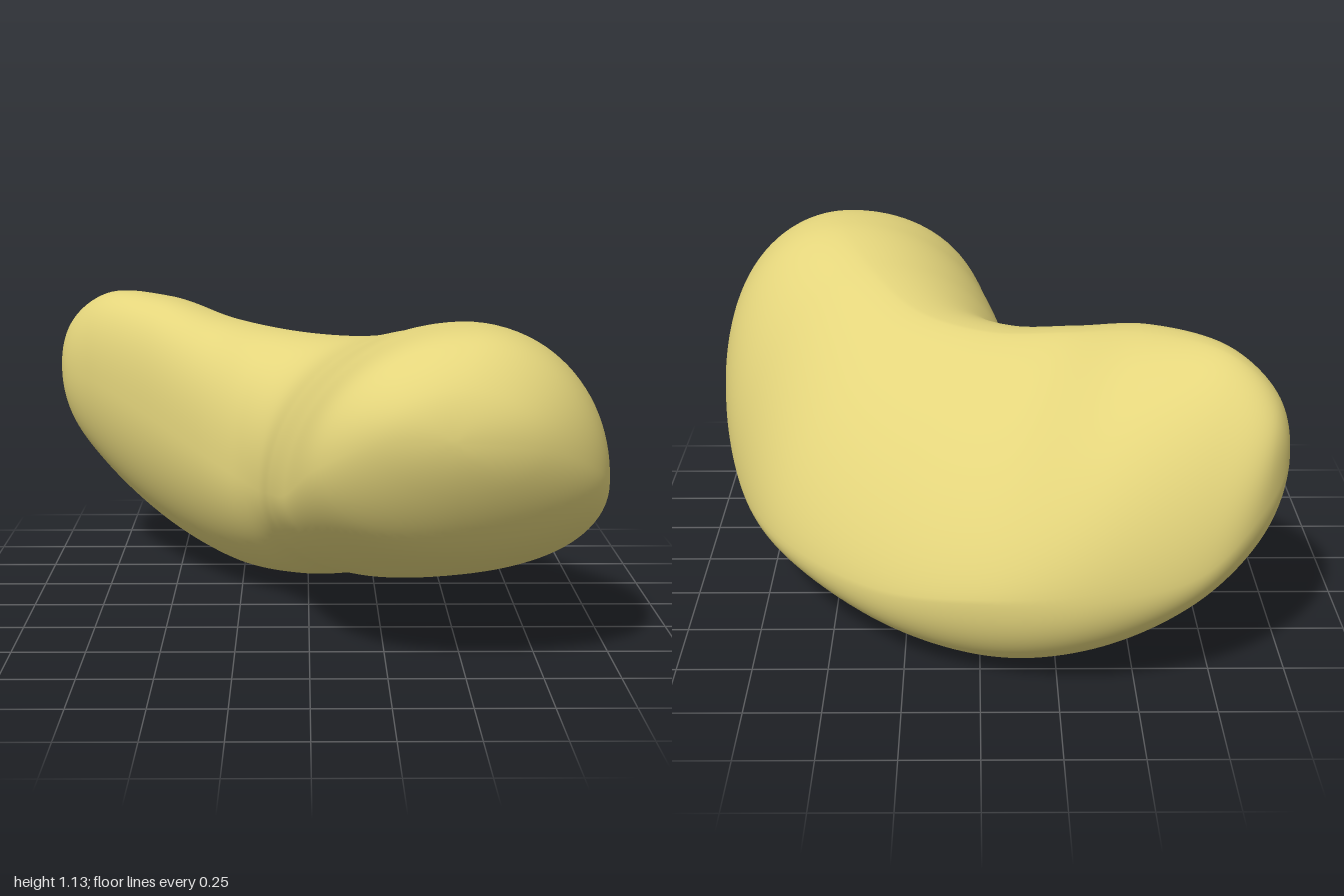
import * as THREE from 'three';
import { mergeVertices } from 'three/addons/utils/BufferGeometryUtils.js';

// Cross-sections along the bend:
// outer x, z | inner x, z | height of outer edge, inner edge, top, bottom |
// sideways place of top and bottom (-1 inner, 1 outer) |
// slope of the outer and inner upper walls (1 oval, more is straighter, less is squarer)
const STATIONS = [
  [-0.88, -0.87, -0.955, -0.59, 0.66, 0.77, 0.94, 0.54, -0.2, 0.2, 1.0, 0.95],
  [-0.68, -0.975, -0.835, -0.43, 0.48, 0.76, 1.065, 0.33, -0.3, 0.2, 1.2, 0.85],
  [-0.36, -1.00, -0.60, -0.20, 0.40, 0.67, 1.075, 0.12, -0.4, 0.2, 1.15, 0.78],
  [0.00, -0.91, -0.40, -0.03, 0.34, 0.57, 1.015, 0.01, -0.4, 0.25, 1.4, 0.8],
  [0.35, -0.725, -0.25, 0.09, 0.28, 0.50, 0.98, 0.02, -0.3, 0.2, 1.4, 0.85],
  [0.71, -0.36, -0.175, 0.23, 0.29, 0.49, 0.99, 0.11, -0.15, 0.1, 1.3, 0.95],
  [0.90, 0.10, -0.135, 0.42, 0.34, 0.53, 1.06, 0.19, 0, 0, 1.15, 1.0],
  [0.97, 0.50, -0.08, 0.64, 0.55, 0.58, 1.125, 0.30, 0.1, 0, 1.0, 1.0],
  [0.91, 0.76, 0.02, 0.86, 0.68, 0.72, 1.105, 0.45, 0.1, 0, 1.0, 1.0],
  [0.70, 0.94, 0.20, 0.97, 0.80, 0.82, 0.98, 0.66, 0, 0, 1.0, 1.0],
];
const TIP_A = new THREE.Vector3(-0.965, 0.75, -0.73);
const TIP_B = new THREE.Vector3(0.43, 0.83, 1.0);
const AROUND = 96, ALONG = 120;

// Closed ring of four rounded quarters joining outer edge, top, inner edge and bottom
function section([ox, oz, ix, iz, yo, yi, top, bottom, topSide, bottomSide, outerSlope, innerSlope]) {
  const ring = [];
  for (let j = 0; j < AROUND; j++) {
    const a = (j / AROUND) * Math.PI * 2;
    const outer = Math.cos(a) >= 0, upper = Math.sin(a) >= 0;
    const lower = outer ? 0.92 : 1;
    const power = upper ? (outer ? outerSlope : innerSlope) : lower;
    const c = Math.abs(Math.cos(a)) ** power, s = Math.abs(Math.sin(a)) ** power;
    const side = THREE.MathUtils.lerp(upper ? topSide : bottomSide, outer ? 1 : -1, c);
    const y = THREE.MathUtils.lerp(outer ? yo : yi, upper ? top : bottom, s);
    const t = (side + 1) / 2;
    ring.push(new THREE.Vector3(ix + (ox - ix) * t, y, iz + (oz - iz) * t));
  }
  return ring;
}

function beanGeometry() {
  const rings = STATIONS.map(section);
  const positions = [], index = [];
  // Each lengthwise line is half of a closed curve over both tips, so the ends are round
  for (let j = 0; j < AROUND; j++) {
    const back = (j + AROUND / 2) % AROUND;
    const curve = new THREE.CatmullRomCurve3([
      TIP_A, ...rings.map((r) => r[j]),
      TIP_B, ...rings.map((r) => r[back]).reverse(),
    ], true, 'centripetal');
    for (let i = 0; i <= ALONG; i++) {
      const p = curve.getPoint((i / ALONG) * 0.5);
      positions.push(p.x, p.y, p.z);
    }
  }
  const at = (i, j) => (j % AROUND) * (ALONG + 1) + i;
  for (let j = 0; j < AROUND; j++) {
    for (let i = 0; i < ALONG; i++) {
      const a = at(i, j), b = at(i, j + 1), c = at(i + 1, j), d = at(i + 1, j + 1);
      if (i > 0) index.push(a, b, c);
      if (i < ALONG - 1) index.push(b, d, c);
    }
  }
  const geometry = new THREE.BufferGeometry();
  geometry.setAttribute('position', new THREE.Float32BufferAttribute(positions, 3));
  geometry.setIndex(index);
  const merged = mergeVertices(geometry, 1e-5);
  merged.computeVertexNormals();
  return merged;
}

export function createModel() {
  const group = new THREE.Group();
  group.name = 'bean';
  const body = new THREE.Mesh(beanGeometry(), new THREE.MeshStandardMaterial({ color: 0xe4d57c }));
  body.name = 'beanBody';
  group.add(body);
  return group;
}
